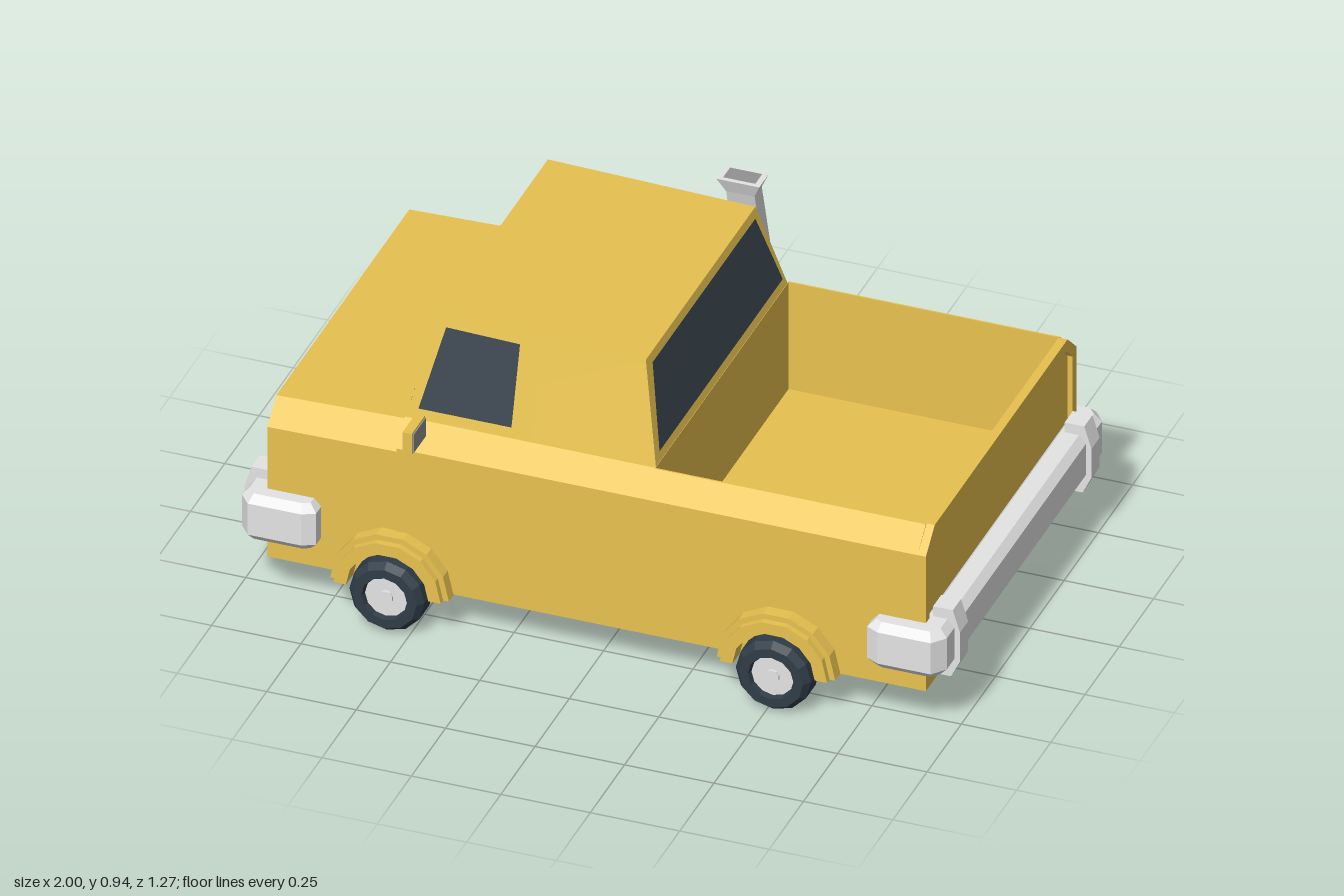
import * as THREE from 'three';

const std = (name, color, side = THREE.FrontSide) => {
  const m = new THREE.MeshStandardMaterial({ color, side });
  m.name = name;
  return m;
};

export function createModel() {
  const truck = new THREE.Group();
  truck.name = 'pickupTruck';
  const paint = std('yellow paint', 0xe8c250);
  const trim = std('yellow trim', 0xe8c250, THREE.DoubleSide);
  const chrome = std('light chrome', 0xe4e4e4);
  const glass = std('dark glass', 0x38434d, THREE.DoubleSide);
  const rubber = std('tyre rubber', 0x2f3c47);
  const grey = std('mirror grey', 0x929292, THREE.DoubleSide);
  const dark = std('dark grille', 0x2b2d30);

  // Faceted normals
  const flat = (g) => {
    const f = g.index ? g.toNonIndexed() : g;
    f.computeVertexNormals();
    return f;
  };
  const add = (name, geo, mat, parent = truck) => {
    const m = new THREE.Mesh(flat(geo), mat);
    m.name = name;
    parent.add(m);
    return m;
  };
  const box = (name, mat, x, y, z, w, h, d) => {
    add(name, new THREE.BoxGeometry(w, h, d), mat).position.set(x, y, z);
  };
  const shapeOf = (pts) => new THREE.Shape(pts.map(([a, b]) => new THREE.Vector2(a, b)));
  const extrude = (shape, depth, opts = {}) =>
    new THREE.ExtrudeGeometry(shape, { depth, bevelEnabled: false, ...opts });
  // Extrude a [z, y] shape along x, ending at x1
  const extrudeX = (shape, depth, x1) => extrude(shape, depth).rotateY(-Math.PI / 2).translate(x1, 0, 0);

  // Skin between [z, y] outlines placed along x, closed at both ends
  const loft = (sections) => {
    const out = [];
    const put = (x, p) => out.push(x, p[1], p[0]);
    for (let s = 0; s < sections.length - 1; s++) {
      const [x0, A] = sections[s], [x1, B] = sections[s + 1];
      A.forEach((a, i) => {
        const j = (i + 1) % A.length;
        put(x0, a); put(x1, B[i]); put(x0, A[j]);
        put(x0, A[j]); put(x1, B[i]); put(x1, B[j]);
      });
    }
    const cap = ([x, P], flip) => {
      const tris = THREE.ShapeUtils.triangulateShape(P.map((p) => new THREE.Vector2(...p)), []);
      for (const t of tris) (flip ? [t[0], t[2], t[1]] : t).forEach((i) => put(x, P[i]));
    };
    cap(sections[0], false);
    cap(sections[sections.length - 1], true);
    const g = new THREE.BufferGeometry();
    g.setAttribute('position', new THREE.Float32BufferAttribute(out, 3));
    return g;
  };
  const mirrored = (half) => [...half, ...half.map(([z, y]) => [-z, y]).reverse()];

  // Box whose corners are pulled to separate bottom and top rectangles
  const taper = (b, t, y0, yTop) => {
    const g = new THREE.BoxGeometry(1, 1, 1), p = g.attributes.position;
    for (let i = 0; i < p.count; i++) {
      const up = p.getY(i) > 0, r = up ? t : b, front = p.getX(i) < 0;
      p.setXYZ(i, front ? r[0] : r[1], up ? yTop[front ? 0 : 1] : y0, p.getZ(i) < 0 ? r[2] : r[3]);
    }
    return g;
  };
  const plate = (name, mat, c) => {
    const g = new THREE.BufferGeometry();
    g.setAttribute('position', new THREE.Float32BufferAttribute([0, 1, 2, 0, 2, 3].flatMap((i) => c[i]), 3));
    return add(name, g, mat);
  };

  // Body: bonnet and cab base, then the open bed with a flat floor
  const hull = (side, top) => mirrored([[0.55, 0.115], [0.55, side], [0.485, top]]);
  add('frontBody', loft([[-0.92, hull(0.515, 0.575)], [-0.56, hull(0.52, 0.585)]]), paint);
  add('cabBase', loft([[-0.56, hull(0.53, 0.59)], [0.14, hull(0.53, 0.59)]]), paint);
  const bed = mirrored([[0.55, 0.115], [0.55, 0.53], [0.49, 0.59], [0.485, 0.59], [0.485, 0.26]]);
  add('bed', loft([[0.14, bed], [0.897, bed]]), paint);

  // Tailgate panel set into a frame
  add('tailgate', loft([[0.895, hull(0.53, 0.59)], [0.905, hull(0.53, 0.59)]]), paint);
  const frame = shapeOf(hull(0.53, 0.59));
  frame.holes.push(shapeOf(mirrored([[0.522, 0.145], [0.522, 0.515], [0.475, 0.56]]).reverse()));
  add('tailFrame', extrudeX(frame, 0.017, 0.92), paint);

  // Cab with tapered sides, door skins and windows
  add('cab', taper([-0.56, 0.14, -0.482, 0.482], [-0.5, 0.08, -0.4, 0.4], 0.585, [0.875, 0.86]), paint);
  const sideZ = (y) => 0.486 - (y - 0.585) * 0.285;
  for (const s of [1, -1]) {
    plate('doorLower', trim, [[-0.56, 0.12], [-0.205, 0.12], [-0.205, 0.525], [-0.56, 0.515]]
      .map(([x, y]) => [x, y, s * 0.553]));
    plate('doorUpper', trim, [[-0.55, 0.595], [-0.205, 0.595], [-0.205, 0.86], [-0.497, 0.866]]
      .map(([x, y]) => [x, y, s * (sideZ(y) + 0.001)]));
    plate('sideWindow', glass, [[-0.525, 0.62], [-0.265, 0.62], [-0.265, 0.84], [-0.472, 0.845]]
      .map(([x, y]) => [x, y, s * (sideZ(y) + 0.004)]));
  }
  const pane = (xAt) => [[0.45, 0.62], [-0.45, 0.62], [-0.375, 0.84], [0.375, 0.84]].map(([z, y]) => [xAt(y), y, z]);
  plate('rearWindow', glass, pane((y) => 0.145 - (y - 0.585) * 0.218));
  plate('windscreen', glass, pane((y) => -0.565 + (y - 0.585) * 0.207));

  // Grille and headlamps, nearly flush with the nose
  box('grilleBack', dark, -0.92, 0.435, 0, 0.006, 0.21, 0.43);
  for (let i = 0; i < 5; i++) box('grilleSlat', chrome, -0.923, 0.353 + i * 0.041, 0, 0.008, 0.023, 0.43);
  for (const z of [-0.365, 0.365]) {
    const lamp = add('headlamp', new THREE.CylinderGeometry(0.065, 0.065, 0.012, 12), chrome);
    lamp.rotation.z = Math.PI / 2;
    lamp.position.set(-0.92, 0.435, z);
  }

  // Wraparound bumpers with overriders, the same at both ends
  const corner = [[0.79, 0.55], [0.79, 0.575], [0.81, 0.585], [0.945, 0.585], [0.965, 0.56]];
  const plan = [...corner, ...corner.map(([x, z]) => [x, -z]).reverse(), [0.915, -0.55], [0.915, 0.55]];
  const over = [[0.925, 0.15], [0.975, 0.15], [1, 0.2], [1, 0.29], [0.98, 0.355], [0.925, 0.355]];
  for (const [name, turn] of [['rearBumper', 0], ['frontBumper', Math.PI]]) {
    const g = new THREE.Group();
    g.name = name;
    g.rotation.y = turn;
    truck.add(g);
    const bar = extrude(shapeOf(plan), 0.096, { bevelEnabled: true, bevelSize: 0.02, bevelThickness: 0.022, bevelSegments: 1 });
    bar.rotateX(-Math.PI / 2).translate(0, 0.207, 0);
    add('bumperBar', bar, chrome, g);
    for (const z of [-0.48, 0.48]) add('overrider', extrude(shapeOf(over), 0.06).translate(0, 0, z - 0.03), chrome, g);
  }

  // Wheels and stepped arches
  const arch = (r0, r1) => {
    const ring = (r) => Array.from({ length: 8 }, (_, i) =>
      [r * Math.cos(i * Math.PI / 7), r * Math.sin(i * Math.PI / 7)]);
    return shapeOf([...ring(r1), ...ring(r0).reverse()]);
  };
  const tyre = [[0.058, -0.055], [0.09, -0.055], [0.105, -0.035], [0.105, 0.035], [0.09, 0.055], [0.064, 0.055], [0.058, 0.035]];
  for (const x of [-0.565, 0.515]) for (const s of [1, -1]) {
    const g = new THREE.Group();
    g.name = 'wheelSet';
    g.position.set(x, 0.107, 0);
    g.rotation.y = s > 0 ? 0 : Math.PI;
    truck.add(g);
    const wheel = new THREE.Group();
    wheel.name = 'wheel';
    wheel.rotation.x = Math.PI / 2;
    wheel.position.z = 0.57;
    g.add(wheel);
    add('tyre', new THREE.LatheGeometry(tyre.map((p) => new THREE.Vector2(...p)), 12), rubber, wheel);
    add('hub', new THREE.CylinderGeometry(0.06, 0.06, 0.08, 12), chrome, wheel);
    add('hubCap', new THREE.CylinderGeometry(0.02, 0.022, 0.095, 10), chrome, wheel);
    add('archOuter', extrude(arch(0.115, 0.166), 0.042).translate(0, 0.008, 0.545), paint, g);
    add('archInner', extrude(arch(0.115, 0.15), 0.06).translate(0, 0.008, 0.545), paint, g);
  }

  // Side exhaust pipe with flared mouth
  const pipe = [[-0.245, 0.115], [-0.275, 0.08], [-0.31, 0.065], [-0.56, 0.065], [-0.585, 0.09], [-0.585, 0.55],
    [-0.53, 0.615], [-0.445, 0.9], [-0.393, 0.9], [-0.48, 0.6], [-0.55, 0.53], [-0.55, 0.105], [-0.32, 0.105], [-0.305, 0.115]];
  add('exhaustPipe', extrudeX(shapeOf(pipe), 0.08, 0.08), chrome);
  add('exhaustFlare', taper([0, 0.08, -0.445, -0.393], [-0.02, 0.1, -0.447, -0.376], 0.895, [0.938, 0.938]), chrome);
  plate('exhaustMouth', grey, [[-0.005, 0.94, -0.437], [-0.005, 0.94, -0.386], [0.085, 0.94, -0.386], [0.085, 0.94, -0.437]]);

  // Door mirrors
  for (const s of [1, -1]) {
    box('mirrorHousing', paint, -0.497, 0.61, s * 0.587, 0.026, 0.064, 0.097);
    box('mirrorGlass', grey, -0.483, 0.61, s * 0.587, 0.006, 0.056, 0.089);
    const arm = new THREE.LineCurve3(new THREE.Vector3(-0.525, 0.55, s * 0.52), new THREE.Vector3(-0.5, 0.59, s * 0.56));
    add('mirrorArm', new THREE.TubeGeometry(arm, 1, 0.005, 5), grey);
  }
  return truck;
}
